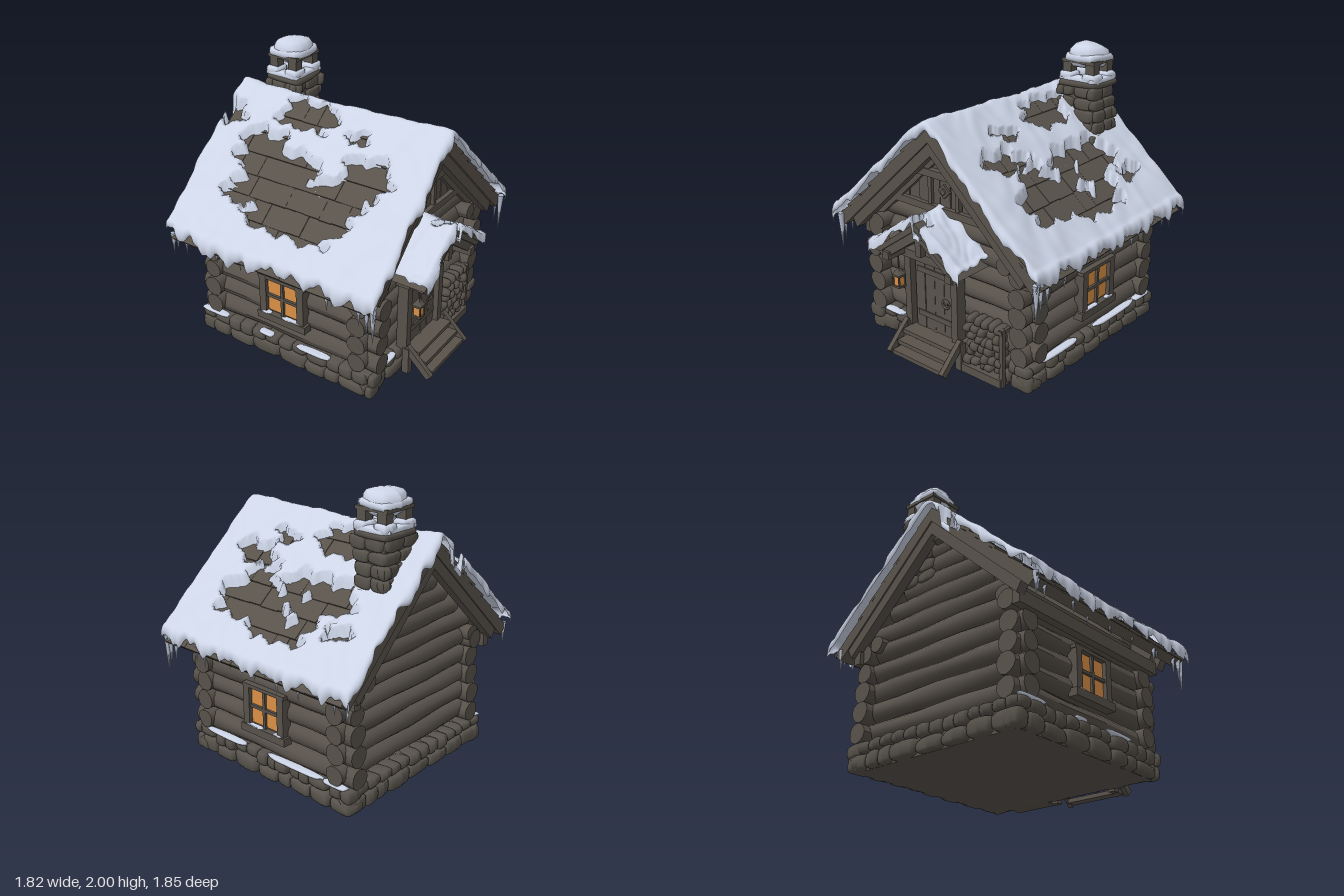
import * as THREE from 'three';
import { mergeGeometries } from 'three/addons/utils/BufferGeometryUtils.js';

const mat = (name, color, side = THREE.FrontSide) => {
  const m = new THREE.MeshStandardMaterial({ color, side });
  m.name = name;
  return m;
};

let seed = 7;
const rnd = (a = 0, b = 1) => {
  seed = (seed * 16807) % 2147483647;
  return a + (b - a) * seed / 2147483647;
};
// Soft two-octave noise without a main direction
const wave = (x, z) => 0.65 * Math.sin(x * 12 + 1.6 * Math.sin(z * 7)) * Math.sin(z * 13 + 1 + 1.6 * Math.sin(x * 8 + 2))
  + 0.35 * Math.sin(x * 29 + 2 * Math.sin(z * 11)) * Math.sin(z * 27 + 2 + 2 * Math.sin(x * 13));

export function createModel() {
  const wood = mat('dark timber', 0x57514a), plank = mat('weathered planks', 0x59524b);
  const stone = mat('grey stone', 0x57524b), snow = mat('snow', 0xccd4e6, THREE.DoubleSide);
  const ice = mat('ice', 0xb4bed0), glow = mat('amber glass', 0xd98f45);
  const cabin = new THREE.Group();
  cabin.name = 'logCabin';

  // Merge a list of geometries into one named part
  const part = (name, material, list) => {
    const mesh = new THREE.Mesh(mergeGeometries(list.map(g => (g.index ? g.toNonIndexed() : g))), material);
    mesh.name = name;
    cabin.add(mesh);
  };
  const box = (x, y, z, w, h, d, rx = 0, rz = 0) =>
    new THREE.BoxGeometry(w, h, d).rotateX(rx).rotateZ(rz).translate(x, y, z);
  // Slightly knobbly log lying along x or z
  const log = (axis, x, y, z, r, len, segs = 8) => {
    const g = new THREE.CylinderGeometry(r, r, len, 12, segs), p = g.attributes.position, ph = rnd(0, 9);
    for (let i = 0; i < p.count; i++) {
      const a = Math.atan2(p.getZ(i), p.getX(i));
      const k = 1 + 0.06 * Math.sin(p.getY(i) * 9 + ph) + 0.04 * Math.sin(a * 3 + ph + p.getY(i) * 4);
      p.setX(i, p.getX(i) * k);
      p.setZ(i, p.getZ(i) * k);
    }
    g.computeVertexNormals();
    return (axis === 'x' ? g.rotateZ(Math.PI / 2) : g.rotateX(Math.PI / 2)).translate(x, y, z);
  };
  // Rounded block used for stones and lumps of snow
  const lump = (x, y, z, a, b, c, pow = 0.6) => {
    const g = new THREE.SphereGeometry(1, 12, 8), p = g.attributes.position, ph = rnd(0, 9);
    const f = v => Math.sign(v) * Math.abs(v) ** pow;
    for (let i = 0; i < p.count; i++) {
      const X = p.getX(i), Y = p.getY(i), Z = p.getZ(i), k = 1 + 0.08 * Math.sin(X * 3 + ph) * Math.cos(Z * 3 + Y * 2 + ph);
      p.setXYZ(i, f(X) * a * k, f(Y) * b * k, f(Z) * c * k);
    }
    g.computeVertexNormals();
    return g.translate(x, y, z);
  };
  // Gabled strip extruded along x
  const chevron = (zc, apex, half, slope, thick, x0, depth) => {
    const e = apex - half * slope;
    const s = new THREE.Shape([[-half, e], [-half + 0.05, e - thick + 0.045], [0, apex - thick], [half - 0.05, e - thick + 0.045], [half, e], [0, apex]]
      .map(([z, y]) => new THREE.Vector2(z, y)));
    return new THREE.ExtrudeGeometry(s, { depth, bevelEnabled: false }).rotateY(-Math.PI / 2).translate(x0 + depth, 0, zc);
  };

  // Stone footing: a tall lower course and a flatter upper one, unevenly split
  const footing = [box(-0.06, 0.09, -0.02, 1.36, 0.18, 1.36)];
  const stoneRun = (from, to, place) => {
    for (let s = from; s < to - 0.03;) {
      const w = Math.min(rnd(0.1, 0.24), to - s), cut = rnd(0.085, 0.125);
      footing.push(place(s + w / 2, cut / 2, w / 2 + 0.008, cut / 2));
      if (w > 0.18) for (const k of [0.27, 0.75]) footing.push(place(s + w * k, (cut + 0.19) / 2, w * 0.27, (0.195 - cut) / 2));
      else footing.push(place(s + w / 2 + 0.02, (cut + 0.19) / 2, w / 2 + 0.01, (0.195 - cut) / 2));
      s += w;
    }
  };
  for (const z of [0.645, -0.69]) stoneRun(-0.79, 0.66, (s, y, w, h) => lump(s, y, z, w, h, rnd(0.06, 0.078)));
  for (const x of [-0.725, 0.6]) stoneRun(-0.75, 0.7, (s, y, w, h) => lump(x, y, s, rnd(0.06, 0.075), h, w));
  part('stoneFooting', stone, footing);
  part('footingSnow', snow, [[-0.66, 0.69, 0.12], [0.2, 0.69, 0.14], [-0.2, 0.69, 0.06], [0.35, -0.735, 0.2], [-0.3, -0.735, 0.25], [-0.65, -0.735, 0.1]]
    .map(([x, z, w]) => lump(x, 0.19, z, w, 0.012, 0.03)).concat([-0.3, 0.48].map(z => lump(0.645, 0.185, z, 0.03, 0.01, 0.1))));

  // Log walls with crossing corners
  const core = new THREE.Shape([[-0.66, 0.15], [0.6, 0.15], [0.6, 0.96], [0, 1.54], [-0.66, 0.91]].map(([a, b]) => new THREE.Vector2(a, b)));
  const walls = [new THREE.ExtrudeGeometry(core, { depth: 1.2, bevelEnabled: false }).rotateY(-Math.PI / 2).translate(0.55, 0, 0)];
  for (const y of [0.25, 0.4, 0.54, 0.675, 0.81])
    for (const z of [0.6, -0.66]) walls.push(log('x', -0.04 + rnd(-0.02, 0.02), y, z, 0.07, 1.46));
  for (const y of [0.265, 0.41, 0.55, 0.69])
    for (const x of [-0.66, 0.55]) walls.push(log('z', x, y, -0.03 + rnd(-0.015, 0.015), 0.069, 1.46));
  for (const y of [0.83, 0.96, 1.09, 1.21, 1.33, 1.44]) {
    const len = Math.min(1.3, 2 * (1.52 - y) / 0.93);
    walls.push(log('z', -0.66, y, -0.02, 0.07, len));
    if (y < 1) walls.push(log('z', 0.55, y, -0.02, 0.07, len));
  }
  for (const z of [0.57, -0.55]) walls.push(log('x', -0.04, 0.86, z, 0.055, 1.46));
  part('logWalls', wood, walls);

  // Planked gable above the door
  const gable = [box(0.6, 1.065, 0, 0.08, 0.05, 0.92), box(0.61, 1.31, 0, 0.08, 0.05, 0.46)];
  for (let i = -4; i <= 4; i++) {
    const z = i * 0.094, top = 1.53 - 0.93 * Math.abs(z);
    gable.push(box(0.575 + rnd(0, 0.012), (1.03 + top) / 2, z, 0.05, top - 1.03, 0.088));
  }
  for (const s of [-1, 1]) gable.push(box(0.605, 1.19, s * 0.12, 0.05, 0.22, 0.03));
  gable.push(box(0.605, 1.2, 0, 0.04, 0.07, 0.07, Math.PI / 4), box(0.61, 1.2, 0, 0.05, 0.035, 0.035, Math.PI / 4));
  part('gablePlanks', plank, gable);

  // Roof deck, barge boards and eave beams
  const roofTop = 1.655, slope = 0.93;
  part('roofDeck', plank, [chevron(0, roofTop, 0.88, slope, 0.09, -0.84, 1.6)]);
  part('roofTimbers', wood, [chevron(0, 1.6, 0.78, slope, 0.13, 0.67, 0.07), chevron(0, 1.6, 0.78, slope, 0.13, -0.83, 0.07),
    chevron(0, 1.58, 0.75, slope, 0.14, 0.59, 0.05),
    ...[-1, 1].map(s => box(-0.07, 0.785, s * 0.7, 1.46, 0.09, 0.06)), box(-0.04, 1.49, 0, 1.5, 0.09, 0.09)]);
  const shingles = [], pitch = Math.atan(slope);
  for (const s of [-1, 1])
    for (let r = 0; r < 8; r++)
      for (let x = -0.84; x < 0.74;) {
        const w = Math.min(rnd(0.09, 0.18), 0.76 - x), z = 0.06 + r * 0.11;
        shingles.push(box(x + w / 2, roofTop - z * slope + rnd(0.004, 0.014), s * z, w, 0.02, 0.165 + rnd(0, 0.012), s * (pitch - 0.07)));
        x += w;
      }
  part('roofShingles', plank, shingles);

  // Snow blanket over a gabled roof: it dips below the shingles inside each bare patch [x, z, rx, rz]
  const blanket = (name, o) => {
    const nx = o.nx, nz = o.nz, pos = [], idx = [];
    const rim = u => Math.max(0, (Math.abs(u) - 0.9) / 0.1) * 2.3;
    const cover = (list, x, z, pow) => Math.max(0, ...list.map(([a, b, c, d]) => 1 - Math.abs((x - a) / c) ** pow - Math.abs((z - b) / d) ** pow));
    for (let j = 0; j <= nz; j++)
      for (let i = 0; i <= nx; i++) {
        const u = 2 * i / nx - 1, v = 2 * j / nz - 1, eu = rim(u), ev = rim(v);
        const x0 = o.cx + o.hx * Math.sign(u) * Math.min(1, Math.abs(u) / 0.9), z0 = o.hz * Math.sign(v) * Math.min(1, Math.abs(v) / 0.9);
        const n = wave(x0 * o.f, z0 * o.f);
        const wx = x0 + 0.04 * Math.sin(z0 * 48) + 0.025 * Math.sin(z0 * 91 + x0 * 5), wz = z0 + 0.016 * Math.sin(x0 * 33) + 0.006 * Math.sin(x0 * 71);
        const bare = cover(o.bare, wx, wz, 4) - 1.5 * cover(o.tongues, wx, wz, 1.5);
        const t = o.t + o.t * 0.25 * n + 0.02 * u * u + o.drift * Math.abs(v) - 0.13 * Math.min(1, Math.max(0, bare * 1.7));
        const bulge = 1 + 0.7 * wave(x0 * 1.5, z0 * 1.5 + 3);
        const hang = 0.04 * bulge * (1 - Math.cos(eu)) + o.hang * bulge * (1 - Math.cos(ev));
        pos.push(x0 + Math.sign(u) * 0.035 * bulge * Math.sin(eu), o.top - o.slope * (Math.sqrt(z0 * z0 + 0.001) - 0.02) + t - hang,
          o.cz + z0 + Math.sign(v) * 0.04 * bulge * Math.sin(ev));
        if (i < nx && j < nz) {
          const a = j * (nx + 1) + i, b = a + nx + 1;
          idx.push(a, b, a + 1, a + 1, b, b + 1);
        }
      }
    const g = new THREE.BufferGeometry();
    g.setAttribute('position', new THREE.Float32BufferAttribute(pos, 3));
    g.setIndex(idx);
    g.computeVertexNormals();
    const mesh = new THREE.Mesh(g, snow);
    mesh.name = name;
    cabin.add(mesh);
  };
  blanket('roofSnow', { cx: -0.045, hx: 0.815, cz: 0, hz: 0.865, top: roofTop, slope, t: 0.052, drift: 0.03, hang: 0.06, f: 1, nx: 130, nz: 150,
    bare: [[-0.23, 0.11, 0.22, 0.085], [0.21, 0.17, 0.09, 0.035], [-0.45, 0.34, 0.19, 0.1], [-0.2, 0.46, 0.35, 0.15], [0, 0.6, 0.38, 0.14],
      [0.38, 0.35, 0.17, 0.11], [0.22, 0.5, 0.22, 0.15], [-0.82, 0.2, 0.1, 0.07], [-0.5, 0.61, 0.13, 0.04],
      [-0.23, -0.15, 0.21, 0.09], [0.24, -0.2, 0.09, 0.04], [-0.1, -0.47, 0.48, 0.11], [0.42, -0.33, 0.17, 0.06],
      [-0.12, -0.65, 0.26, 0.11], [0.2, -0.58, 0.31, 0.12], [-0.55, -0.63, 0.1, 0.035]],
    tongues: [[0.08, 0.25, 0.15, 0.28], [0.08, -0.38, 0.12, 0.16], [-0.15, -0.59, 0.07, 0.06], [-0.16, -0.46, 0.06, 0.04]] });

  // Icicles along both eaves
  const icicles = [];
  for (const s of [-1, 1])
    for (const [x, len] of [[-0.83, 0.12], [-0.8, 0.08], [-0.73, 0.1], [-0.46, 0.08], [-0.28, 0.09], [-0.06, 0.07], [0.18, 0.06], [0.43, 0.12], [0.47, 0.07], [0.67, 0.13], [0.73, 0.17], [0.77, 0.23]])
      icicles.push(new THREE.ConeGeometry(0.014 + len * 0.05, len + 0.05, 7).rotateX(Math.PI).translate(x, 0.85 - len / 2, s * rnd(0.83, 0.88)));
  part('icicles', ice, icicles);

  // Chimney with open hood
  const cx = -0.61, cz = -0.235, chimney = [box(cx, 1.46, cz, 0.22, 0.5, 0.26)], hood = [];
  for (let r = 0; r < 6; r++) {
    const y = 1.25 + r * 0.084;
    for (const s of [-1, 1]) {
      const k = rnd(-0.035, 0.035), h = rnd(0.038, 0.048);
      chimney.push(lump(cx + s * 0.105, y, cz - 0.075 + k, 0.033, h, 0.085), lump(cx + s * 0.105, y, cz + 0.08 + k, 0.033, h, 0.075));
      chimney.push(lump(cx - 0.065 + k, y, cz + s * 0.13, 0.072, h, 0.033), lump(cx + 0.065 + k, y, cz + s * 0.13, 0.068, h, 0.033));
    }
  }
  chimney.push(lump(cx, 1.725, cz, 0.15, 0.025, 0.165, 0.35));
  for (const a of [-1, 1]) for (const b of [-1, 1]) {
    chimney.push(box(cx + a * 0.08, 1.81, cz + b * 0.095, 0.07, 0.16, 0.07));
    hood.push(lump(cx + a * 0.08, 1.77, cz + b * 0.095, 0.06, 0.035, 0.065));
  }
  chimney.push(box(cx, 1.88, cz, 0.25, 0.025, 0.27));
  for (const s of [-1, 1]) hood.push(lump(cx, 1.752, cz + s * 0.12, 0.14, 0.028, 0.04), lump(cx + s * 0.1, 1.752, cz, 0.04, 0.028, 0.15));
  // Snow-covered hood with a square plan
  hood.push(lump(cx, 1.903, cz, 0.137, 0.032, 0.147, 0.5), lump(cx, 1.908, cz, 0.128, 0.09, 0.137, 0.8));
  part('chimney', stone, chimney);
  part('chimneySnow', snow, hood);

  // Front and back windows
  const frames = [], panes = [], sills = [];
  for (const [z, s] of [[0.675, 1], [-0.735, -1]]) {
    const X = -0.05;
    frames.push(box(X, 0.515, z - s * 0.03, 0.3, 0.3, 0.06), box(X, 0.355, z + s * 0.01, 0.4, 0.055, 0.07), box(X, 0.663, z, 0.38, 0.025, 0.07),
      box(X, 0.52, z + s * 0.01, 0.022, 0.27, 0.03), box(X, 0.52, z + s * 0.01, 0.27, 0.022, 0.03));
    for (const a of [-1, 1]) {
      frames.push(box(X + a * 0.155, 0.52, z, 0.055, 0.3, 0.07));
      for (const b of [-1, 1]) panes.push(box(X + a * 0.068, 0.52 + b * 0.068, z + s * 0.004, 0.116, 0.116, 0.008));
    }
    sills.push(lump(X - 0.13, 0.383, z + s * 0.025, 0.04, 0.009, 0.02), lump(X + 0.08, 0.383, z + s * 0.025, 0.08, 0.007, 0.02));
  }
  part('windowFrames', wood, frames);
  part('windowPanes', glow, panes);
  part('windowSillSnow', snow, sills);

  // Plank door, frame and ring handle
  const door = [];
  for (let i = 0; i < 4; i++) door.push(box(0.63 + rnd(0, 0.01), 0.435, 0.2 - i * 0.088, 0.05, 0.53, 0.084));
  part('door', plank, door);
  part('doorFrame', wood, [box(0.66, 0.45, 0.285, 0.08, 0.55, 0.055), box(0.66, 0.45, -0.14, 0.08, 0.55, 0.055), box(0.67, 0.725, 0.06, 0.1, 0.06, 0.56),
    box(0.662, 0.28, 0.06, 0.02, 0.04, 0.32), box(0.662, 0.61, 0.06, 0.02, 0.04, 0.32)]);
  part('doorHandle', stone, [new THREE.TorusGeometry(0.03, 0.008, 6, 16).rotateY(Math.PI / 2).translate(0.672, 0.42, -0.04), box(0.665, 0.43, -0.04, 0.02, 0.03, 0.03)]);
  part('doorFrameSnow', snow, [lump(0.705, 0.67, -0.135, 0.015, 0.016, 0.016, 1)]);

  // Porch roof on brackets
  const porch = [chevron(0.03, 1.05, 0.38, 0.74, 0.05, 0.56, 0.31), chevron(0.03, 1.01, 0.36, 0.74, 0.08, 0.8, 0.05), box(0.82, 0.9, 0.03, 0.05, 0.18, 0.05)];
  for (const z of [0.31, -0.25]) porch.push(box(0.72, 0.745, z, 0.3, 0.055, 0.055));
  part('porch', wood, porch);
  blanket('porchSnow', { cx: 0.735, hx: 0.135, cz: 0.03, hz: 0.355, top: 1.05, slope: 0.74, t: 0.045, drift: 0, hang: 0.015, f: 2, nx: 30, nz: 60,
    bare: [[0.82, -0.02, 0.05, 0.06]], tongues: [] });

  // Steps
  const steps = [box(0.72, 0.155, 0.05, 0.12, 0.03, 0.44), box(0.79, 0.095, 0.05, 0.09, 0.03, 0.44), box(0.845, 0.04, 0.05, 0.08, 0.03, 0.44)];
  for (const z of [0.3, -0.19]) steps.push(box(0.787, 0.115, z, 0.26, 0.05, 0.035, 0, -0.76), box(0.7, 0.1, z, 0.05, 0.2, 0.05));
  part('steps', plank, steps);

  // Firewood stack of split, uneven logs
  const stack = [box(0.66, 0.4, -0.54, 0.1, 0.03, 0.03), box(0.69, 0.21, -0.545, 0.03, 0.42, 0.03), box(0.66, 0.03, -0.38, 0.12, 0.06, 0.34)];
  for (let r = 0; r < 6; r++)
    for (let i = 0; i < 5; i++)
      stack.push(lump(0.655 + rnd(-0.015, 0.012), 0.095 + r * 0.06 + rnd(-0.01, 0.01), -0.25 - i * 0.062 - (r % 2) * 0.02 + rnd(-0.01, 0.01),
        0.06, rnd(0.026, 0.038), rnd(0.027, 0.04), 0.7));
  part('firewood', wood, stack);

  // Hanging lantern
  const L = [0.77, 0.295], lantern = [box(L[0], 0.492, L[1], 0.066, 0.014, 0.066), box(L[0], 0.572, L[1], 0.066, 0.014, 0.066), box(L[0], 0.68, L[1], 0.008, 0.12, 0.008),
    new THREE.ConeGeometry(0.048, 0.05, 4).rotateY(Math.PI / 4).translate(L[0], 0.604, L[1])];
  for (const a of [-1, 1]) for (const b of [-1, 1]) lantern.push(box(L[0] + a * 0.027, 0.532, L[1] + b * 0.027, 0.01, 0.08, 0.01));
  part('lantern', wood, lantern);
  part('lanternGlass', glow, [box(L[0], 0.532, L[1], 0.05, 0.07, 0.05)]);

  return cabin;
}
